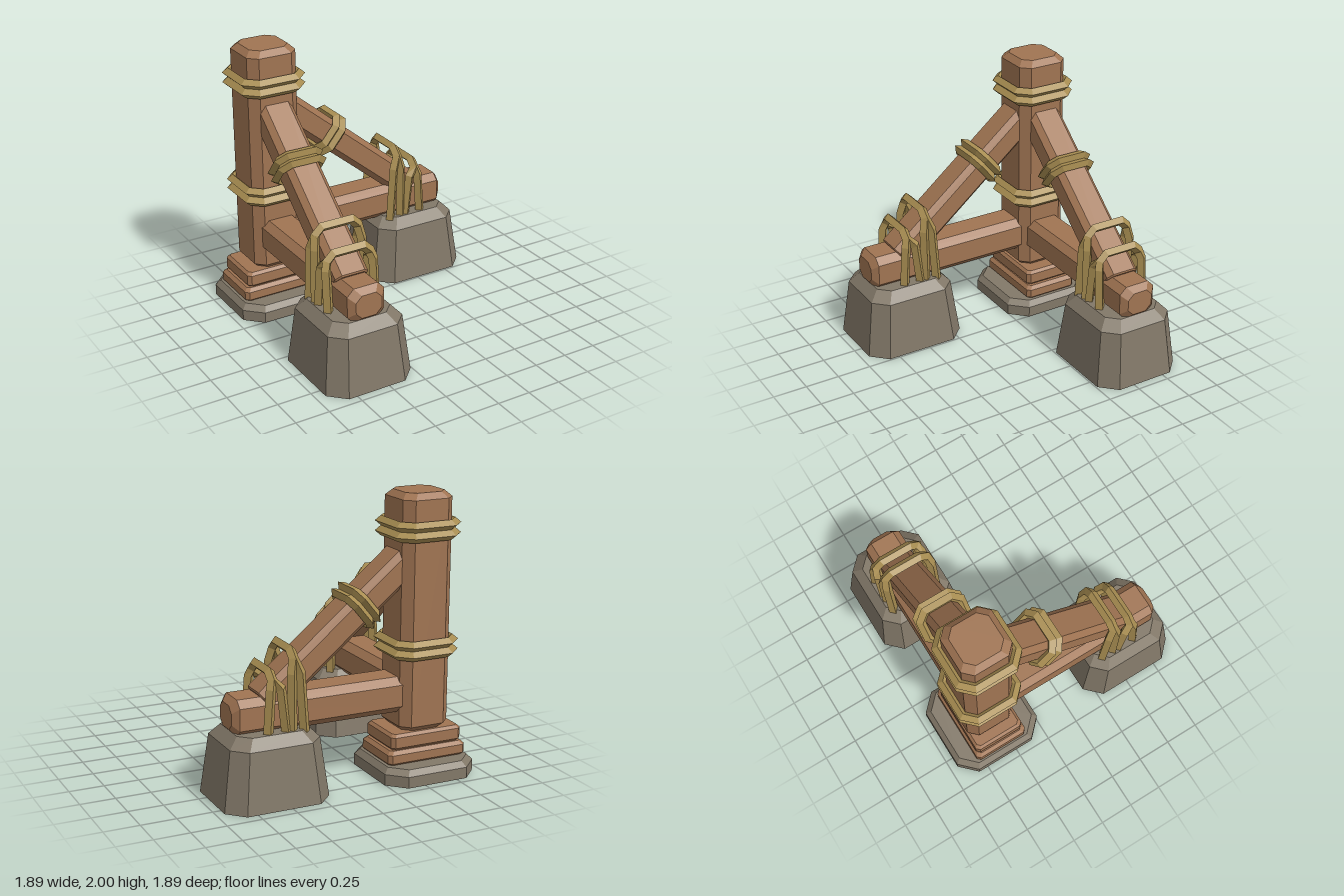
import * as THREE from 'three';

const wood = new THREE.MeshStandardMaterial({ color: 0xa07452 });
wood.name = 'wood';
const stone = new THREE.MeshStandardMaterial({ color: 0x827868 });
stone.name = 'stone';
const rope = new THREE.MeshStandardMaterial({ color: 0xa98e52 });
rope.name = 'rope';

// Skin a series of equal-sized loops with flat faces; closed joins last to first.
function loft(loops, closed = false) {
  const out = [];
  const tri = (...pts) => pts.forEach((p) => out.push(p.x, p.y, p.z));
  const n = loops[0].length;
  const spans = closed ? loops.length : loops.length - 1;
  for (let i = 0; i < spans; i++) {
    const a = loops[i], b = loops[(i + 1) % loops.length];
    for (let j = 0; j < n; j++) {
      const k = (j + 1) % n;
      tri(a[j], a[k], b[k]);
      tri(a[j], b[k], b[j]);
    }
  }
  if (!closed) {
    const s = loops[0], e = loops[loops.length - 1];
    for (let j = 1; j < n - 1; j++) {
      tri(s[0], s[j + 1], s[j]);
      tri(e[0], e[j], e[j + 1]);
    }
  }
  const g = new THREE.BufferGeometry();
  g.setAttribute('position', new THREE.Float32BufferAttribute(out, 3));
  g.computeVertexNormals();
  return g;
}

// Rectangle with cut corners, lying flat at height y.
function octagon(hx, hz, cut, y) {
  return [
    [hx, hz - cut], [hx - cut, hz], [cut - hx, hz], [-hx, hz - cut],
    [-hx, cut - hz], [cut - hx, -hz], [hx - cut, -hz], [hx, cut - hz],
  ].map(([x, z]) => new THREE.Vector3(x, y, -z));
}

// Upright timber with chamfered edges and ends, starting at y = 0.
function bar(hx, hz, cut, length, c) {
  const inner = (y) => octagon(hx - c, hz - c, cut * 0.9, y);
  return loft([inner(0), octagon(hx, hz, cut, c), octagon(hx, hz, cut, length - c), inner(length)]);
}

// Rope hoop with a diamond section around an upright timber.
function hoop(hx, hz, cut, r, h) {
  const at = (d, y) => octagon(hx + d, hz + d, cut + d * 0.586, y);
  return loft([at(0, -h), at(r, 0), at(0, h), at(-r, 0)], true);
}

// Rope strand with a diamond section along a path.
function strand(points, r) {
  const loops = points.map((p, i) => {
    const t = new THREE.Vector3();
    if (i > 0) t.add(p.clone().sub(points[i - 1]).normalize());
    if (i < points.length - 1) t.add(points[i + 1].clone().sub(p).normalize());
    t.normalize();
    const u = new THREE.Vector3(1, 0, 0);
    u.addScaledVector(t, -u.dot(t)).normalize();
    const v = t.clone().cross(u);
    return [[u, r], [v, r], [u, -r], [v, -r]].map(([d, s]) => p.clone().addScaledVector(d, s));
  });
  return loft(loops);
}

function add(parent, name, geometry, material, x = 0, y = 0, z = 0) {
  const mesh = new THREE.Mesh(geometry, material);
  mesh.name = name;
  mesh.position.set(x, y, z);
  parent.add(mesh);
  return mesh;
}

// One side of the frame, running along +x away from the post.
function makeArm() {
  const arm = new THREE.Group();

  const block = loft([
    octagon(0.382, 0.335, 0.115, 0),
    octagon(0.326, 0.29, 0.1, 0.42),
    octagon(0.257, 0.223, 0.08, 0.494),
  ]);
  add(arm, 'footBlock', block, stone, 1.155);

  const beam = add(arm, 'beam', bar(0.127, 0.142, 0.05, 1.335, 0.043), wood, 0.095, 0.597);
  beam.rotation.z = -Math.PI / 2;

  // Sloping brace with its double hoop
  const brace = new THREE.Group();
  brace.name = 'braceAssembly';
  brace.position.set(0.06, 1.579, 0);
  brace.rotation.z = -THREE.MathUtils.degToRad(129.5);
  add(brace, 'brace', bar(0.105, 0.128, 0.04, 1.44, 0.01), wood);
  for (const y of [0.498, 0.562]) {
    add(brace, 'braceHoop', hoop(0.125, 0.155, 0.055, 0.037, 0.034), rope, 0, y);
  }
  arm.add(brace);

  // Lashings: two strands share each peak and spread toward the block
  const lashings = [
    { peak: 0.415, top: 1.025, knee: 0.88, legs: [[0.345, 0.375], [0.435, 0.437]] },
    { peak: 0.57, top: 0.895, knee: 0.79, legs: [[0.475, 0.515], [0.61, 0.588]] },
  ];
  for (const { peak, top, knee, legs } of lashings) {
    for (const [foot, bend] of legs) {
      const side = [
        [foot, 0.47, 0.182], [bend, knee, 0.182],
        [peak, top - 0.05, 0.165], [peak, top, 0.115],
      ];
      const path = [...side, ...side.map(([x, y, z]) => [x, y, -z]).reverse()]
        .map(([x, y, z]) => new THREE.Vector3(x + 0.595, y, z));
      add(arm, 'lashing', strand(path, 0.037), rope);
    }
  }
  return arm;
}

export function createModel() {
  const model = new THREE.Group();
  model.name = 'timberFrame';
  const frame = new THREE.Group();
  frame.name = 'frame';
  frame.position.set(-0.595, 0, -0.595);
  model.add(frame);

  // Post base: stone slab and two stacked planks
  const slab = loft([
    octagon(0.35, 0.35, 0.12, 0),
    octagon(0.35, 0.35, 0.12, 0.08),
    octagon(0.315, 0.315, 0.108, 0.12),
  ]);
  add(frame, 'baseSlab', slab, stone);
  add(frame, 'lowerPlank', bar(0.305, 0.21, 0.025, 0.11, 0.025), wood, 0, 0.11);
  add(frame, 'upperPlank', bar(0.275, 0.195, 0.025, 0.115, 0.02), wood, 0, 0.22);

  // Corner post and its two pairs of hoops
  add(frame, 'post', bar(0.19, 0.19, 0.064, 1.67, 0.042), wood, 0, 0.33);
  for (const y of [1.78, 1.71, 0.96, 0.89]) {
    add(frame, 'postHoop', hoop(0.212, 0.212, 0.075, 0.038, 0.035), rope, 0, y);
  }

  const sideArm = makeArm();
  sideArm.name = 'sideArm';
  const frontArm = makeArm();
  frontArm.name = 'frontArm';
  frontArm.rotation.y = -Math.PI / 2;
  frame.add(sideArm, frontArm);
  return model;
}
